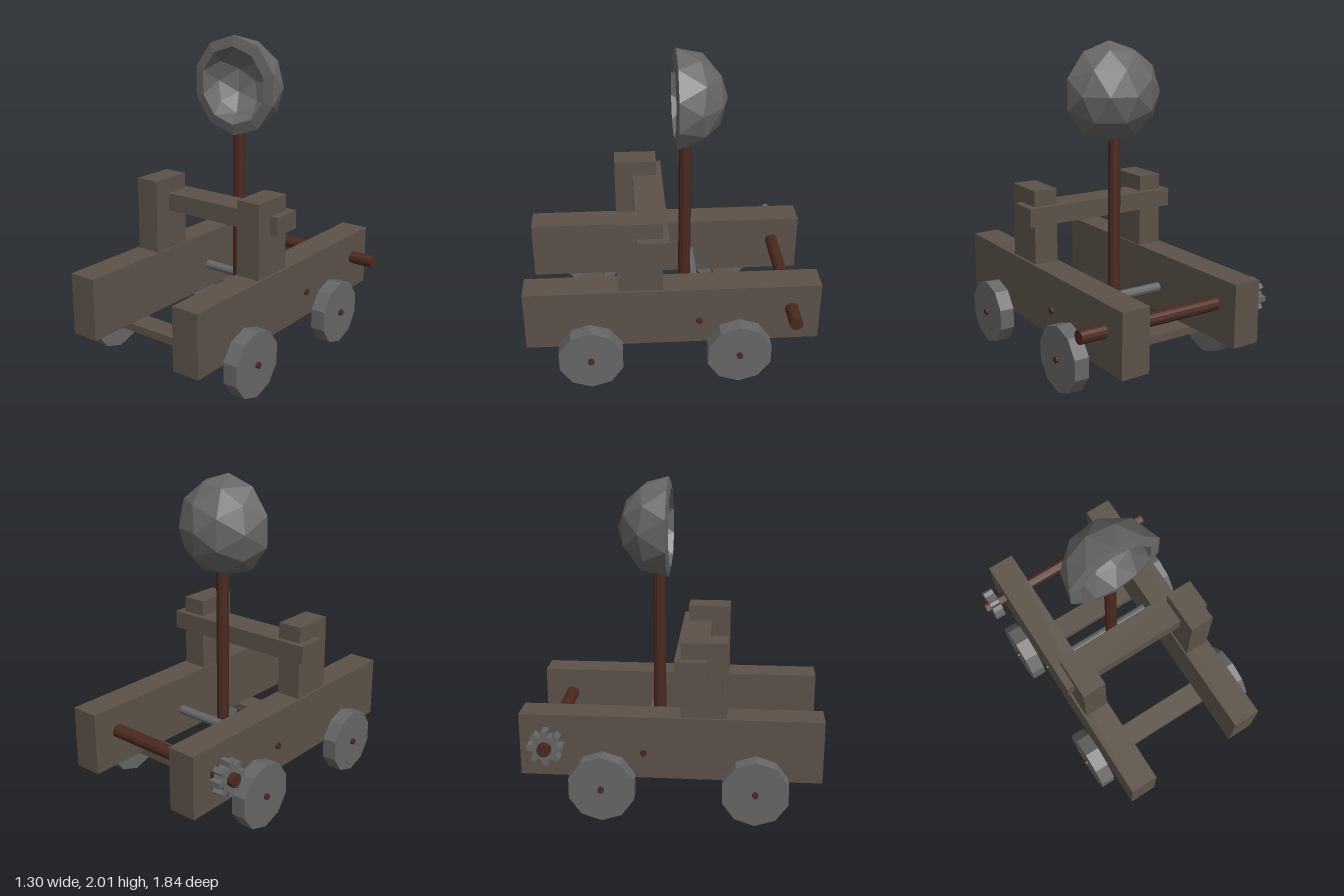
import * as THREE from 'three';

const mat = (color) => new THREE.MeshStandardMaterial({ color, flatShading: true });
const wood = mat(0x5c5248);
const darkWood = mat(0x4a2920);
const metal = mat(0x666666);

function add(parent, name, geometry, material, x, y, z) {
  const mesh = new THREE.Mesh(geometry, material);
  mesh.name = name;
  mesh.position.set(x, y, z);
  parent.add(mesh);
  return mesh;
}

const box = (w, h, d) => new THREE.BoxGeometry(w, h, d);

// Cylinder lying along x
const rod = (radius, length, sides = 10) =>
  new THREE.CylinderGeometry(radius, radius, length, sides).rotateZ(Math.PI / 2);

// Ring of points around the z axis; every radius/depth pair alternates
function ring(count, start, pairs) {
  return Array.from({ length: count }, (_, i) => {
    const a = start + (i * Math.PI * 2) / count;
    const [r, z] = pairs[i % pairs.length];
    return [r * Math.cos(a), r * Math.sin(a), z];
  });
}

// Faceted half sphere bulging towards -z: rings of 1, 5, 10 and 10 points
function domeTriangles(radius, rimZ) {
  const s = (p) => [p[0] * radius, p[1] * radius, p[2] * radius + rimZ];
  const pole = s([0, 0, -1]);
  const upper = ring(5, 0, [[0.526, -0.851]]).map(s);
  const middle = ring(10, 0, [[0.894, -0.447], [0.851, -0.526]]).map(s);
  const rim = ring(10, Math.PI / 10, [[1, 0]]).map(s);
  const tris = [];
  for (let k = 0; k < 5; k++) {
    const a = upper[k], b = upper[(k + 1) % 5];
    const m = 2 * k;
    tris.push([pole, b, a], [a, b, middle[m + 1]]);
    tris.push([a, middle[m + 1], middle[m]], [a, middle[m], middle[(m + 9) % 10]]);
  }
  for (let j = 0; j < 10; j++) {
    tris.push([middle[j], rim[j], rim[(j + 9) % 10]]);
    tris.push([middle[j], middle[(j + 1) % 10], rim[j]]);
  }
  return { tris, rim };
}

// Hollow bowl: outer dome, reversed inner dome and a rim joining them
function bowlGeometry(outerR, innerR, lip) {
  const outer = domeTriangles(outerR, 0);
  const inner = domeTriangles(innerR, lip);
  const tris = [...outer.tris, ...inner.tris.map(([a, b, c]) => [a, c, b])];
  for (let i = 0; i < 10; i++) {
    const n = (i + 1) % 10;
    tris.push([outer.rim[i], outer.rim[n], inner.rim[n]]);
    tris.push([outer.rim[i], inner.rim[n], inner.rim[i]]);
  }
  const g = new THREE.BufferGeometry();
  g.setAttribute('position', new THREE.Float32BufferAttribute(tris.flat(2), 3));
  g.computeVertexNormals();
  return g;
}

// Toothed wheel lying along x
function gearGeometry(teeth, tip, root, width) {
  const pts = [];
  for (let i = 0; i < teeth; i++) {
    [[-0.3, root], [-0.2, tip], [0.2, tip], [0.3, root]].forEach(([o, r]) => {
      const a = ((i + o) / teeth) * Math.PI * 2;
      pts.push(new THREE.Vector2(r * Math.cos(a), r * Math.sin(a)));
    });
  }
  return new THREE.ExtrudeGeometry(new THREE.Shape(pts), { depth: width, bevelEnabled: false })
    .translate(0, 0, -width / 2)
    .rotateY(Math.PI / 2);
}

export function createModel() {
  const model = new THREE.Group();
  model.name = 'catapult';

  // Frame: side beams, uprights and stop bar
  const frame = new THREE.Group();
  frame.name = 'frame';
  frame.position.x = -0.004;
  model.add(frame);
  for (const side of [-1, 1]) {
    add(frame, 'sideBeam', box(0.182, 0.395, 1.84), wood, side * 0.4, 0.4325, 0);
    add(frame, 'upright', box(0.157, 0.6, 0.277), wood, side * 0.397, 0.8, 0.2);
  }
  add(frame, 'stopBar', box(1.05, 0.115, 0.196), wood, 0, 0.942, 0.122);

  // Running gear: axle, cross beam and two wheels at each end
  for (const z of [0.517, -0.41]) {
    const axleGroup = new THREE.Group();
    axleGroup.name = 'wheelSet';
    axleGroup.position.set(-0.003, 0.2, z);
    model.add(axleGroup);
    add(axleGroup, 'axle', rod(0.02, 1.236), darkWood, 0, 0, 0);
    add(axleGroup, 'crossBeam', box(0.804, 0.05, 0.152), wood, 0, 0, 0);
    for (const side of [-1, 1]) {
      // A vertex points forward, so the wheel rests on a flat
      const wheel = rod(0.208, 0.095, 10).rotateX(Math.PI / 2);
      add(axleGroup, 'wheel', wheel, metal, side * 0.553, 0, 0);
    }
  }

  // Pivot rod with its thicker sleeve between the beams
  add(model, 'pivotRod', rod(0.021, 1.01), darkWood, -0.004, 0.4, -0.162);
  add(model, 'pivotSleeve', rod(0.03, 0.64), metal, -0.004, 0.4, -0.164);

  // Winch rod and ratchet gear
  add(model, 'winchRod', rod(0.042, 1.305, 12), darkWood, 0, 0.465, -0.74);
  add(model, 'ratchetGear', gearGeometry(8, 0.11, 0.078, 0.068), metal, -0.585, 0.465, -0.74);

  // Throwing arm and bowl
  const arm = new THREE.CylinderGeometry(0.04, 0.04, 1.12, 10);
  add(model, 'throwingArm', arm, darkWood, -0.005, 0.85, -0.105);
  add(model, 'bowl', bowlGeometry(0.313, 0.244, 0.014), metal, -0.005, 1.687, -0.045);

  return model;
}
